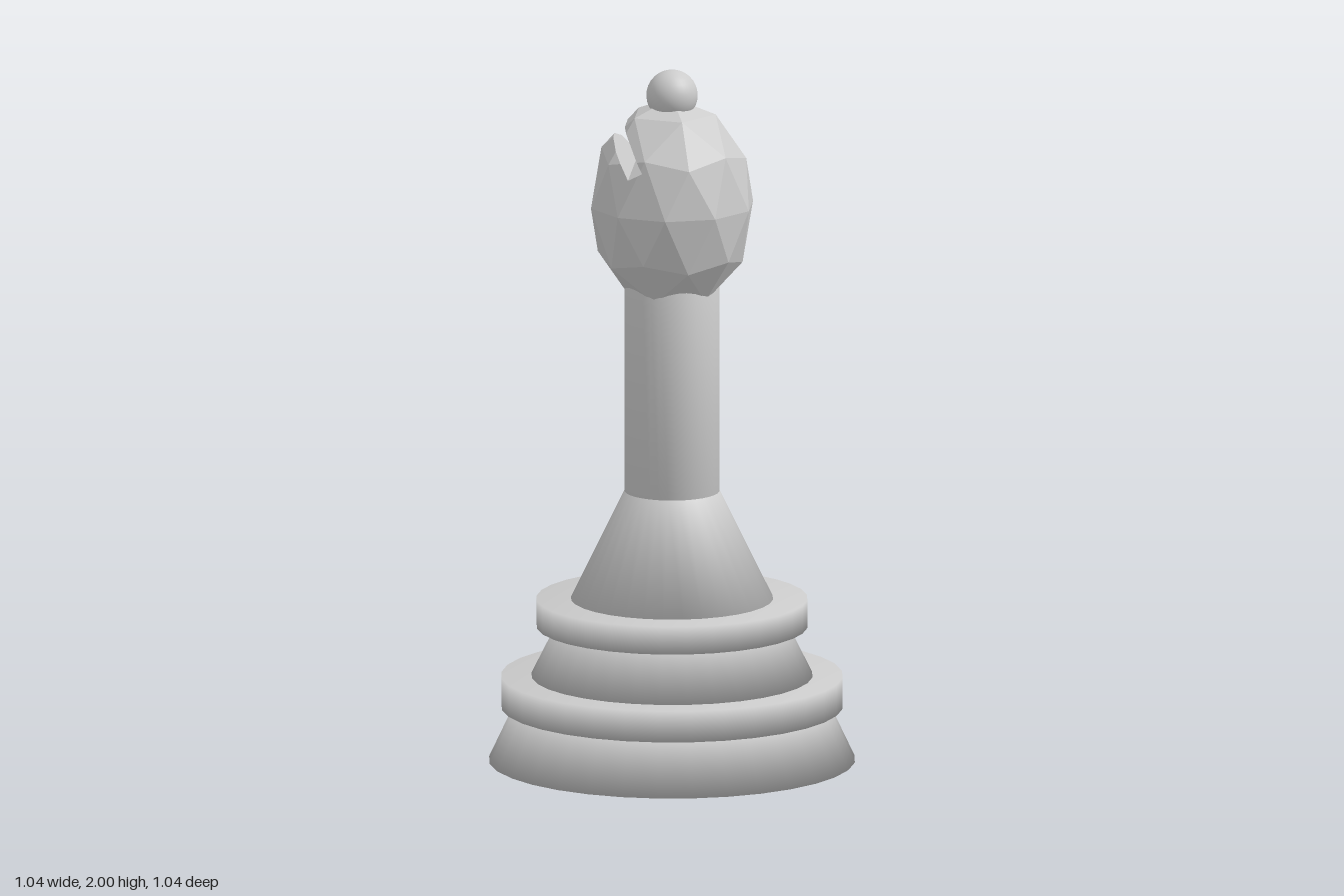
import * as THREE from 'three';

const grey = new THREE.MeshStandardMaterial({ color: 0xcccccc });
const greyFlat = new THREE.MeshStandardMaterial({ color: 0xcccccc, flatShading: true });

// Closed round section with softly shaded rims
function turned(name, y0, r0, y1, r1) {
  const profile = [[0, y0], [r0, y0], [r1, y1], [0, y1]].map(p => new THREE.Vector2(...p));
  const mesh = new THREE.Mesh(new THREE.LatheGeometry(profile, 32), grey);
  mesh.name = name;
  return mesh;
}

// Keep the part of each polygon behind the plane; also return the cut points
function clip(polys, plane) {
  const kept = [], cut = [];
  for (const poly of polys) {
    const out = [];
    poly.forEach((a, i) => {
      const b = poly[(i + 1) % poly.length];
      const da = plane.distanceToPoint(a), db = plane.distanceToPoint(b);
      if (da <= 0) out.push(a);
      if (da * db < 0) {
        const p = a.clone().lerp(b, da / (da - db));
        out.push(p);
        if (!cut.some(q => q.distanceTo(p) < 1e-5)) cut.push(p);
      }
    });
    if (out.length > 2) kept.push(out);
  }
  return { kept, cut };
}

// Convex cross-section facing along the plane normal
function section(cut, plane) {
  const c = cut.reduce((s, p) => s.add(p), new THREE.Vector3()).divideScalar(cut.length);
  const u = new THREE.Vector3(0, 0, 1), v = plane.normal.clone().cross(u);
  const angle = p => {
    const d = p.clone().sub(c);
    return Math.atan2(d.dot(v), d.dot(u));
  };
  return [...cut].sort((a, b) => angle(a) - angle(b));
}

function headGeometry() {
  // Faceted egg with its pole pointing up
  const ico = new THREE.IcosahedronGeometry(1, 1);
  ico.rotateZ(-Math.atan2(1, (1 + Math.sqrt(5)) / 2));
  ico.scale(0.236, 0.31, 0.236);
  ico.translate(0, 1.61, 0);
  const pos = ico.getAttribute('position'), egg = [];
  for (let i = 0; i < pos.count; i += 3) {
    egg.push([0, 1, 2].map(k => new THREE.Vector3().fromBufferAttribute(pos, i + k)));
  }

  // Slanted slot: a floor and two walls
  const tilt = Math.PI / 6, halfWidth = 0.024;
  const base = new THREE.Vector3(-0.09, 1.727, 0);
  const up = new THREE.Vector3(-Math.sin(tilt), Math.cos(tilt), 0);
  const side = new THREE.Vector3(Math.cos(tilt), Math.sin(tilt), 0);
  const planeAt = (n, p) => new THREE.Plane().setFromNormalAndCoplanarPoint(n, p);
  const floor = planeAt(up, base);
  const above = floor.clone().negate();

  // Body under the floor, then the floor itself
  const body = clip(egg, floor);
  let floorPolys = [section(body.cut, floor)];
  const polys = [...body.kept];

  // The portion on each side of the slot, with its wall
  for (const s of [-1, 1]) {
    const n = side.clone().multiplyScalar(s);
    const wall = planeAt(n, base.clone().addScaledVector(n, halfWidth));
    const outer = wall.clone().negate();
    const part = clip(egg, outer);
    polys.push(...clip([...part.kept, section(part.cut, outer)], above).kept);
    floorPolys = clip(floorPolys, wall).kept;
  }
  polys.push(...floorPolys);

  const points = [];
  for (const p of polys) {
    for (let i = 1; i < p.length - 1; i++) points.push(p[0], p[i], p[i + 1]);
  }
  const geometry = new THREE.BufferGeometry().setFromPoints(points);
  geometry.computeVertexNormals();
  return geometry;
}

export function createModel() {
  const model = new THREE.Group();
  model.name = 'chessBishop';

  // Stepped base, skirt and neck
  model.add(
    turned('foot', 0, 0.52, 0.16, 0.445),
    turned('lowerRing', 0.155, 0.485, 0.245, 0.485),
    turned('middleCone', 0.24, 0.402, 0.4, 0.322),
    turned('upperRing', 0.388, 0.385, 0.468, 0.385),
    turned('skirt', 0.46, 0.291, 0.78, 0.135),
    turned('neck', 0.775, 0.135, 1.42, 0.135),
  );

  // Slotted head
  const head = new THREE.Mesh(headGeometry(), greyFlat);
  head.name = 'head';
  model.add(head);

  // Ball on top
  const finial = new THREE.Mesh(new THREE.SphereGeometry(0.073, 32, 16), grey);
  finial.name = 'finial';
  finial.position.y = 1.927;
  model.add(finial);

  return model;
}
